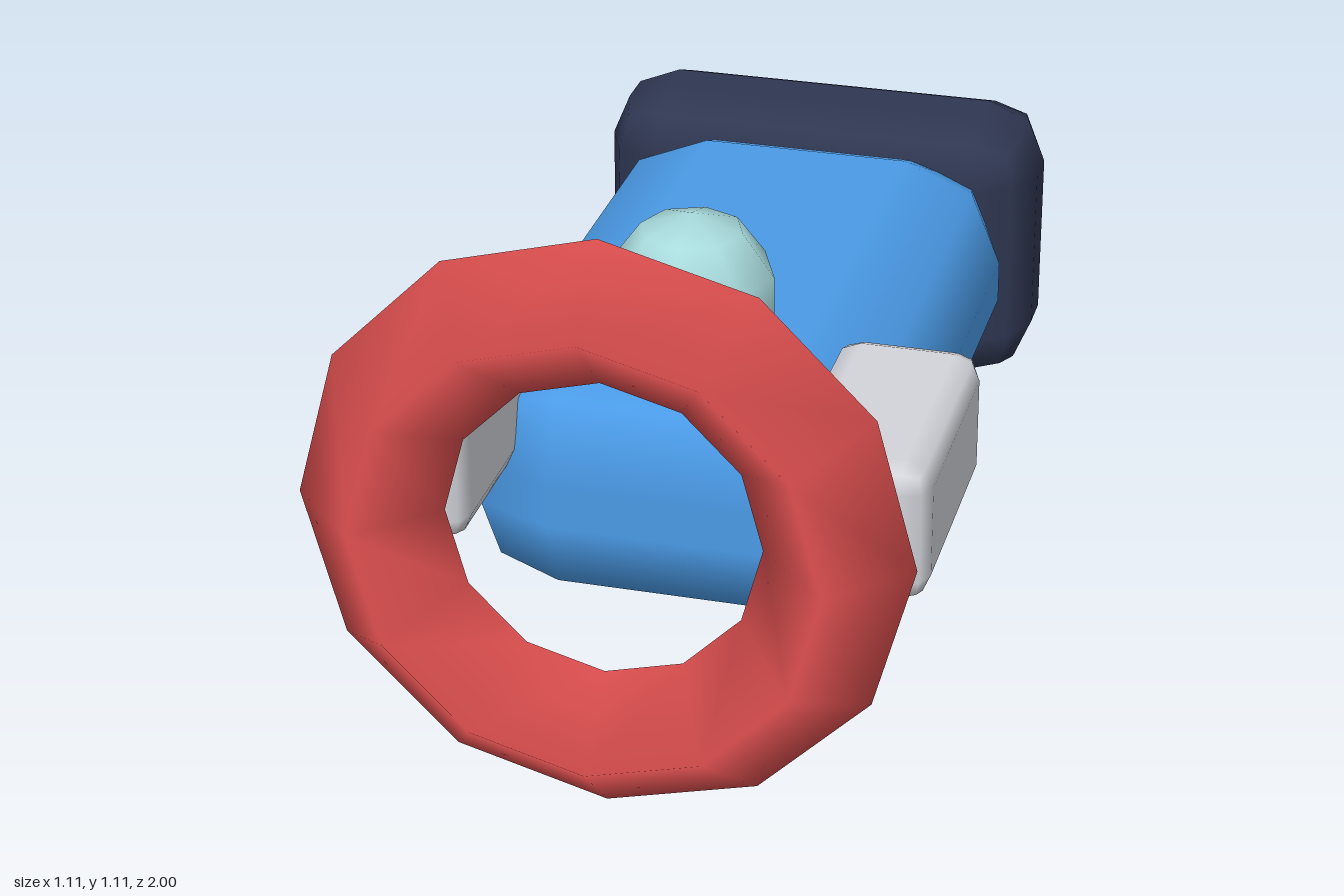
import * as THREE from 'three';
import { RoundedBoxGeometry } from 'three/addons/geometries/RoundedBoxGeometry.js';

const mat = (name, color) => {
  const m = new THREE.MeshStandardMaterial({ color });
  m.name = name;
  return m;
};

export function createModel() {
  const red = mat('red', 0xe05050);
  const blue = mat('blue', 0x4a9ae6);
  const navy = mat('navy', 0x2f3752);
  const grey = mat('lightGrey', 0xd2d4da);
  const aqua = mat('aqua', 0xa8dadc);

  const model = new THREE.Group();
  model.name = 'ringNosedCraft';
  const add = (name, geometry, material, x, y, z) => {
    const mesh = new THREE.Mesh(geometry, material);
    mesh.name = name;
    mesh.position.set(x, y, z);
    model.add(mesh);
    return mesh;
  };
  // rounded box whose edges have a single 45 degree step, shaded smooth
  const softBox = (w, h, d, r) => new RoundedBoxGeometry(w, h, d, 1, r);

  // hull and rear engine block
  add('body', softBox(0.84, 0.505, 1.36, 0.21), blue, 0, 0.392, -0.15);
  add('rearEngine', softBox(0.928, 0.592, 0.332, 0.125), navy, 0, 0.393, -0.834);

  // dome set into the top of the hull
  add('cockpitDome', new THREE.SphereGeometry(0.166, 8, 5), aqua, 0, 0.734, 0.27);

  // arms that carry the front ring
  for (const [name, side] of [['leftArm', 1], ['rightArm', -1]]) {
    add(name, softBox(0.27, 0.27, 0.505, 0.048), grey, side * 0.42, 0.565, 0.527);
  }

  // faceted front ring with a four-sided section
  add('frontRing', new THREE.TorusGeometry(0.422, 0.135, 4, 12), red, 0, 0.561, 0.865);

  return model;
}
